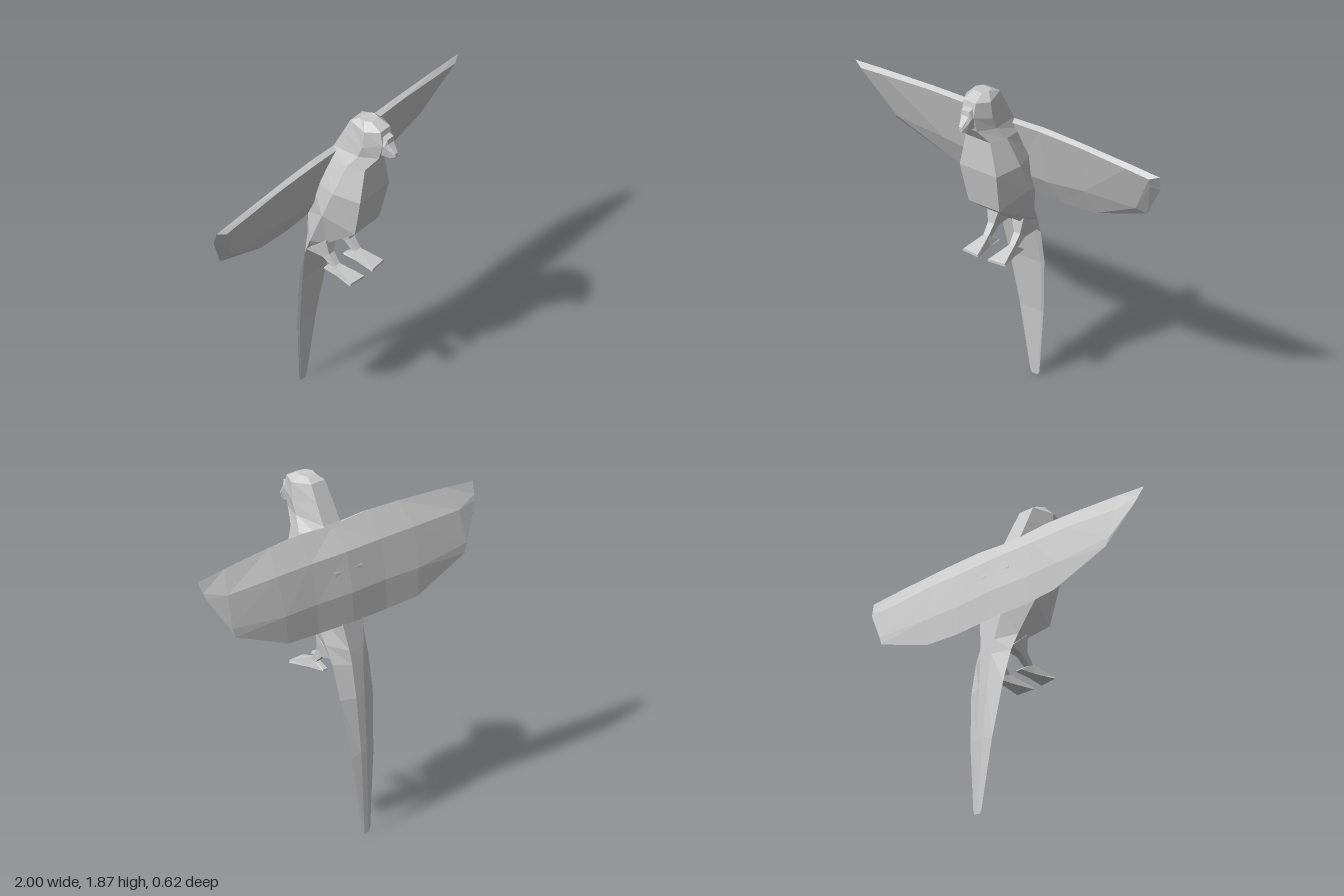
import * as THREE from 'three';

const material = new THREE.MeshStandardMaterial({ color: 0xcccccc, flatShading: true });

// Closed skin through equal-length rings of [x, y, z] points, wound outward
function loft(name, rings) {
  const n = rings[0].length, tris = [];
  for (let r = 0; r < rings.length - 1; r++) {
    for (let i = 0; i < n; i++) {
      const j = (i + 1) % n, a = rings[r], b = rings[r + 1];
      tris.push([a[i], a[j], b[j]], [a[i], b[j], b[i]]);
    }
  }
  const first = rings[0], last = rings[rings.length - 1];
  for (let i = 1; i < n - 1; i++) {
    tris.push([first[0], first[i + 1], first[i]], [last[0], last[i], last[i + 1]]);
  }
  // Signed volume tells whether the winding has to be reversed
  const v = (p) => new THREE.Vector3(...p);
  const c = v(first[0]);
  let volume = 0;
  for (const [p, q, s] of tris) volume += v(p).sub(c).dot(v(q).sub(c).cross(v(s).sub(c)));
  if (volume < 0) tris.forEach((t) => t.reverse());
  const geometry = new THREE.BufferGeometry();
  geometry.setAttribute('position', new THREE.Float32BufferAttribute(tris.flat(2), 3));
  geometry.computeVertexNormals();
  const mesh = new THREE.Mesh(geometry, material);
  mesh.name = name;
  return mesh;
}

// Symmetric ring from half-profile points
const mirrorRing = (half) => [...half, ...half.map(([x, y, z]) => [-x, y, z]).reverse()];

// Side copies: 1 = left (+x), -1 = right
const toSide = (rings, s) => rings.map((ring) => ring.map(([x, y, z]) => [x * s, y, z]));

export function createModel() {
  const model = new THREE.Group();

  // Head, body and tail: front, side and back points of each ring, top to bottom
  const trunk = [
    [[0.03, 1.87, 0.17], [0.045, 1.87, 0.13], [0.03, 1.865, 0.09]],
    [[0.04, 1.84, 0.235], [0.08, 1.83, 0.16], [0.05, 1.84, 0.045]],
    [[0.04, 1.76, 0.25], [0.085, 1.73, 0.15], [0.055, 1.75, 0]],
    [[0.04, 1.67, 0.225], [0.085, 1.66, 0.12], [0.06, 1.64, -0.055]],
    [[0.08, 1.59, 0.165], [0.115, 1.59, 0.07], [0.08, 1.56, -0.11]],
    [[0.12, 1.4, 0.165], [0.165, 1.42, 0.02], [0.1, 1.42, -0.18]],
    [[0.1, 1.17, 0.115], [0.165, 1.25, -0.05], [0.08, 1.16, -0.21]],
    [[0.1, 1.03, -0.07], [0.14, 1.03, -0.15], [0.05, 1.0, -0.235]],
    [[0.1, 0.95, -0.175], [0.13, 0.93, -0.19], [0.04, 0.92, -0.245]],
    [[0.1, 0.72, -0.23], [0.118, 0.74, -0.235], [0.03, 0.74, -0.265]],
    [[0.065, 0.4, -0.275], [0.08, 0.42, -0.278], [0.02, 0.44, -0.29]],
    [[0.02, 0, -0.305], [0.03, 0.02, -0.305], [0.015, 0, -0.31]],
  ];
  model.add(loft('bodyAndTail', trunk.map(mirrorRing)));

  // Hooked beak: upper and lower edge of each section
  const beak = [
    [[0.03, 1.82, 0.2], [0.045, 1.74, 0.2], [0.03, 1.68, 0.2]],
    [[0.025, 1.8, 0.27], [0.038, 1.76, 0.26], [0.025, 1.69, 0.25]],
    [[0.022, 1.77, 0.272], [0.03, 1.74, 0.275], [0.018, 1.685, 0.28]],
    [[0.01, 1.72, 0.31], [0.012, 1.7, 0.31], [0.006, 1.69, 0.308]],
  ];
  model.add(loft('beak', beak.map(mirrorRing)));

  // Wing rings from root to tip: top, two back, bottom, two front points
  const wing = [
    [[0, 1.63, -0.06], [0, 1.51, -0.16], [0, 1.3, -0.21], [0, 1.14, -0.215], [0, 1.27, -0.14], [0, 1.62, -0.03]],
    [[0.25, 1.645, -0.06], [0.25, 1.51, -0.155], [0.25, 1.3, -0.2], [0.25, 1.14, -0.205], [0.22, 1.28, -0.13], [0.25, 1.63, -0.03]],
    [[0.47, 1.637, -0.065], [0.5, 1.51, -0.155], [0.48, 1.3, -0.205], [0.47, 1.15, -0.21], [0.46, 1.31, -0.13], [0.5, 1.62, -0.04]],
    [[0.8, 1.617, -0.073], [0.84, 1.5, -0.14], [0.85, 1.33, -0.183], [0.83, 1.28, -0.19], [0.78, 1.31, -0.155], [0.8, 1.595, -0.05]],
    [[1, 1.6, -0.08], [0.985, 1.54, -0.105], [0.975, 1.51, -0.117], [0.97, 1.5, -0.12], [0.93, 1.52, -0.085], [0.945, 1.58, -0.057]],
  ];

  // Leg rings from belly to ankle
  const leg = [
    [[0.04, 1.06, -0.06], [0.12, 1.06, -0.06], [0.13, 0.96, -0.18], [0.06, 0.96, -0.18]],
    [[0.065, 0.97, -0.05], [0.105, 0.97, -0.05], [0.11, 0.94, -0.09], [0.07, 0.94, -0.09]],
    [[0.07, 0.89, 0.01], [0.1, 0.89, 0.01], [0.1, 0.89, -0.03], [0.07, 0.89, -0.03]],
  ];

  // Wedge foot from heel to toes
  const foot = [
    [[0.06, 0.86, -0.09], [0.1, 0.86, -0.09], [0.095, 0.866, -0.09], [0.065, 0.866, -0.09]],
    [[0.055, 0.86, 0], [0.11, 0.86, 0], [0.1, 0.915, -0.01], [0.07, 0.915, -0.01]],
    [[0.03, 0.86, 0.125], [0.14, 0.86, 0.115], [0.135, 0.874, 0.115], [0.035, 0.874, 0.125]],
  ];

  for (const [side, s] of [['left', 1], ['right', -1]]) {
    model.add(
      loft(side + 'Wing', toSide(wing, s)),
      loft(side + 'Leg', toSide(leg, s)),
      loft(side + 'Foot', toSide(foot, s)),
    );
  }
  return model;
}
